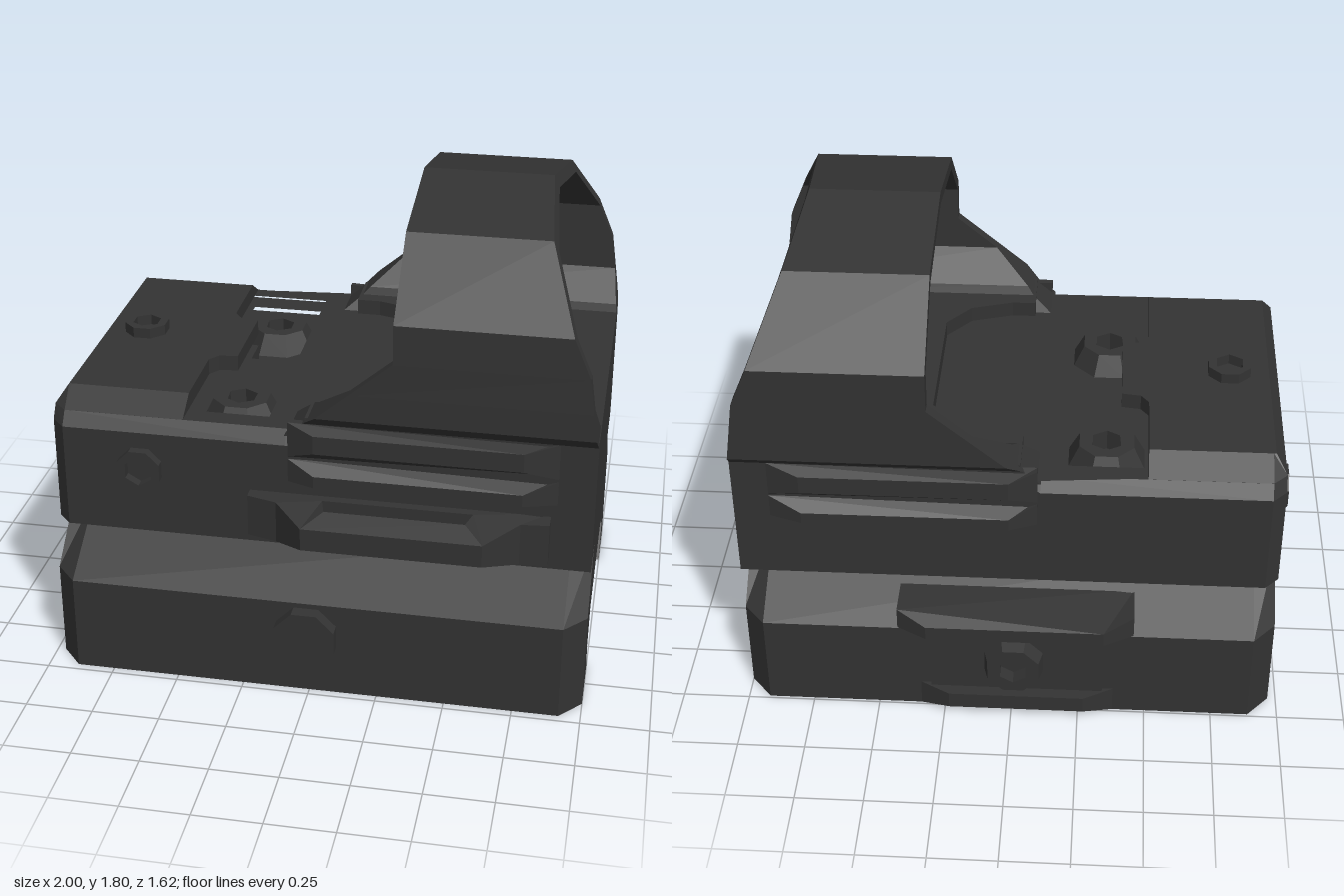
import * as THREE from 'three';

const material = new THREE.MeshStandardMaterial({ color: 0x333333, flatShading: true });
const C = -0.018; // z of the body's centre line

const path = (pts, P = THREE.Shape) => new P(pts.map(p => new THREE.Vector2(p[0], p[1])));

// Move every vertex of a geometry by a rule
function deform(geo, rule) {
  const pos = geo.attributes.position, v = new THREE.Vector3();
  for (let i = 0; i < pos.count; i++) {
    v.fromBufferAttribute(pos, i);
    rule(v);
    pos.setXYZ(i, v.x, v.y, v.z);
  }
  geo.computeVertexNormals();
  return geo;
}

// Plan outline [x, z] raised from y0 to y1
function slab(plan, y0, y1, hole, rule) {
  const flip = pts => pts.map(([x, z]) => [x, -z]);
  const shape = path(flip(plan));
  if (hole) shape.holes.push(path(flip(hole), THREE.Path));
  const geo = new THREE.ExtrudeGeometry(shape, { depth: y1 - y0, bevelEnabled: false });
  geo.rotateX(-Math.PI / 2).translate(0, y0, 0);
  return rule ? deform(geo, rule) : geo;
}

// Cross-section [z, y] run from x0 to x1
function run(section, x0, x1, rule) {
  const geo = new THREE.ExtrudeGeometry(path(section.map(([z, y]) => [-z, y])),
    { depth: x1 - x0, bevelEnabled: false });
  geo.rotateY(Math.PI / 2).translate(x0, 0, 0);
  return rule ? deform(geo, rule) : geo;
}

// Octagonal screw head along +z, with a socket and a narrowed rim
function screw(r, depth, socket, rim = 0.85) {
  const ring = (rad, n) => Array.from({ length: n }, (_, i) => {
    const a = (i + 0.5) / n * Math.PI * 2;
    return [rad * Math.cos(a), rad * Math.sin(a)];
  });
  const shape = path(ring(r, 8));
  if (socket) shape.holes.push(path(ring(socket, 6), THREE.Path));
  const geo = new THREE.ExtrudeGeometry(shape, { depth, bevelEnabled: false });
  return deform(geo, v => {
    if (v.z > depth * 0.9 && Math.hypot(v.x, v.y) > r * 0.9) { v.x *= rim; v.y *= rim; }
  });
}

// Hood: a thin arch with slanted front and rear edges
function hoodGeometry() {
  const half = [ // outer z, y, inner z, y
    [0.645, 1.0, 0.46, 1.0], [0.645, 1.055, 0.5, 1.07], [0.69, 1.1, 0.535, 1.09],
    [0.69, 1.2, 0.645, 1.2], [0.69, 1.33, 0.645, 1.33], [0.69, 1.475, 0.645, 1.46],
    [0.43, 1.715, 0.41, 1.675]];
  const arch = [...half, [0, 1.8, 0, 1.755],
    ...half.slice().reverse().map(([a, b, c, d]) => [-a, b, -c, d])];
  const start = y => Math.min(0.29, -0.09 + (y - 1.01) * 1.1875);
  const end = y => y > 1.33 ? 0.96 - (y - 1.33) * 0.425 : Math.min(1, 1 - (y - 1.05) * 0.143);
  const pos = [], idx = [];
  arch.forEach(([oz, oy, iz, iy], j) => {
    pos.push(start(oy), oy, oz + C, end(oy), oy, oz + C, end(iy), iy, iz + C, start(iy), iy, iz + C);
    if (j === arch.length - 1) return;
    for (let k = 0; k < 4; k++) {
      const a = j * 4 + k, b = j * 4 + (k + 1) % 4;
      idx.push(a, b, b + 4, a, b + 4, a + 4);
    }
  });
  const geo = new THREE.BufferGeometry();
  geo.setAttribute('position', new THREE.Float32BufferAttribute(pos, 3));
  geo.setIndex(idx);
  const flat = geo.toNonIndexed();
  flat.computeVertexNormals();
  return flat;
}

export function createModel() {
  const model = new THREE.Group();
  const add = (name, geo, x = 0, y = 0, z = 0, rx = 0, ry = 0) => {
    const mesh = new THREE.Mesh(geo, material);
    mesh.name = name;
    mesh.position.set(x, y, z);
    mesh.rotation.set(rx, ry, 0);
    model.add(mesh);
  };

  // Rail mount with chamfered ends
  const section = [[0.72, 0], [0.72, 0.37], [0.41, 0.56], [-0.43, 0.56], [-0.74, 0.37], [-0.74, 0],
    [-0.4, 0], [-0.49, 0.13], [-0.49, 0.26], [0.37, 0.26], [0.46, 0.13], [0.37, 0]];
  const pinch = xEnd => v => {
    if (Math.abs(v.x - xEnd) < 0.001 && Math.abs(v.z + 0.01) > 0.7) v.z = -0.01 + Math.sign(v.z) * 0.64;
  };
  add('mount', run(section, -0.89, 0.92));
  add('mountRearEnd', run(section, -0.97, -0.89, pinch(-0.97)));
  add('mountFrontEnd', run(section, 0.92, 1, pinch(1)));
  add('recoilLug', new THREE.BoxGeometry(0.23, 0.15, 0.94), -0.015, 0.195, -0.015);
  add('crossBoltHead', screw(0.12, 0.05, 0, 1), -0.01, 0.24, 0.72);

  // Clamp on the mount's right side
  const lip = (x0, x1, inner) => [[x0, inner], [x1, inner], [x1, -0.74], [x1 - 0.11, -0.8],
    [x0 + 0.11, -0.8], [x0, -0.74]];
  add('clampUpperLip', slab(lip(-0.45, 0.42, -0.58), 0.375, 0.46, null, v => {
    if (v.y > 0.4 && v.z < -0.78) v.y = 0.43;
  }));
  add('clampLowerLip', slab(lip(-0.38, 0.34, -0.7), 0, 0.105, null, v => {
    if (v.y < 0.05 && v.z < -0.78) v.y = 0.04;
  }));
  add('clampPlate', new THREE.BoxGeometry(0.64, 0.34, 0.03), -0.02, 0.22, -0.74);
  add('clampNut', screw(0.12, 0.065, 0.055), -0.01, 0.24, -0.745, 0, Math.PI);

  // Housing: base, recessed layer, chamfered shoulder
  const W = 0.643;
  const plan = [[-0.97, C - 0.59], [-0.92, C - W], [-0.1, C - W], [-0.03, C - W], [1, C - W],
    [1, C + W], [-0.03, C + W], [-0.1, C + W], [-0.92, C + W], [-0.97, C + 0.59]];
  const tongue = [[-0.48, C + 0.22], [-0.45, C + 0.18], [-0.38, C + 0.17],
    [-0.38, C - 0.17], [-0.45, C - 0.18], [-0.48, C - 0.22]];
  const recess = [[-0.48, -0.56], [-0.18, -0.56], [-0.18, 0.51], [-0.48, 0.51], ...tongue];
  add('housing', slab(plan, 0.56, 0.9));
  add('housingUpper', slab(plan, 0.9, 0.96, recess));
  add('housingShoulder', slab(plan, 0.96, 1.01, recess, v => {
    if (v.y > 1 && v.x < -0.05 && Math.abs(v.z - C) > 0.57) v.z = C + (v.z - C) * 0.945;
  }));

  // Raised rear deck with sloped edges
  const rear = [[-0.97, C - 0.557], [-0.92, C - 0.607], [-0.48, C - 0.607], ...tongue.slice().reverse(),
    [-0.48, C + 0.607], [-0.92, C + 0.607], [-0.97, C + 0.557]];
  add('rearDeck', slab(rear, 1.01, 1.07, null, v => {
    if (v.y < 1.05) return;
    v.x = Math.max(v.x, -0.93);
    v.z = C + THREE.MathUtils.clamp(v.z - C, -0.51, 0.51);
  }));

  // Front deck around the emitter pocket
  add('frontDeck', slab([[-0.03, C - 0.63], [1, C - 0.63], [1, C + 0.63], [-0.03, C + 0.63],
    [-0.03, C + 0.44], [0.06, C + 0.44], [0.22, C + 0.39], [0.31, C + 0.28],
    [0.31, C - 0.28], [0.22, C - 0.39], [0.06, C - 0.44], [-0.03, C - 0.44]], 1.01, 1.07));

  add('hood', hoodGeometry());

  // Grip ridges on both sides
  for (const s of [1, -1]) {
    for (const [y0, y1, lo, hi] of [[0.92, 1.055, 0.96, 1.03], [0.82, 0.91, 0.825, 0.87]]) {
      const mid = (y0 + y1) / 2;
      add('gripRidge', slab([[-0.09, C + s * 0.62], [0.87, C + s * 0.62], [0.87, C + s * 0.645],
        [0.75, C + s * 0.69], [0.01, C + s * 0.69], [-0.09, C + s * 0.645]], y0, y1, null, v => {
        if (Math.abs(v.z - C) > 0.68) v.y = v.y > mid ? hi : lo;
      }));
    }
  }

  // Slotted side bracket
  add('sideBracket', slab([[-0.23, 0.6], [0.85, 0.6], [0.85, 0.69], [0.75, 0.7], [0.63, 0.81],
    [-0.01, 0.81], [-0.12, 0.7], [-0.23, 0.67]], 0.61, 0.77, [[0.04, 0.66], [0.58, 0.66], [0.56, 0.735], [0.06, 0.735]],
  v => { if (v.z > 0.8) v.y = v.y > 0.7 ? 0.735 : 0.65; }));

  // Screws
  for (const z of [-0.36, 0.3]) add('deckScrew', screw(0.15, 0.08, 0.06, 0.72), -0.33, 0.9, z, -Math.PI / 2);
  add('elevationScrew', screw(0.085, 0.04, 0.055, 1), -0.78, 1.07, -0.02, -Math.PI / 2);
  add('sideScrew', screw(0.085, 0.04, 0.055, 1), -0.635, 0.82, 0.62);
  add('windageScrew', screw(0.085, 0.035, 0.055, 1), -0.965, 0.785, -0.34, 0, -Math.PI / 2);
  return model;
}
